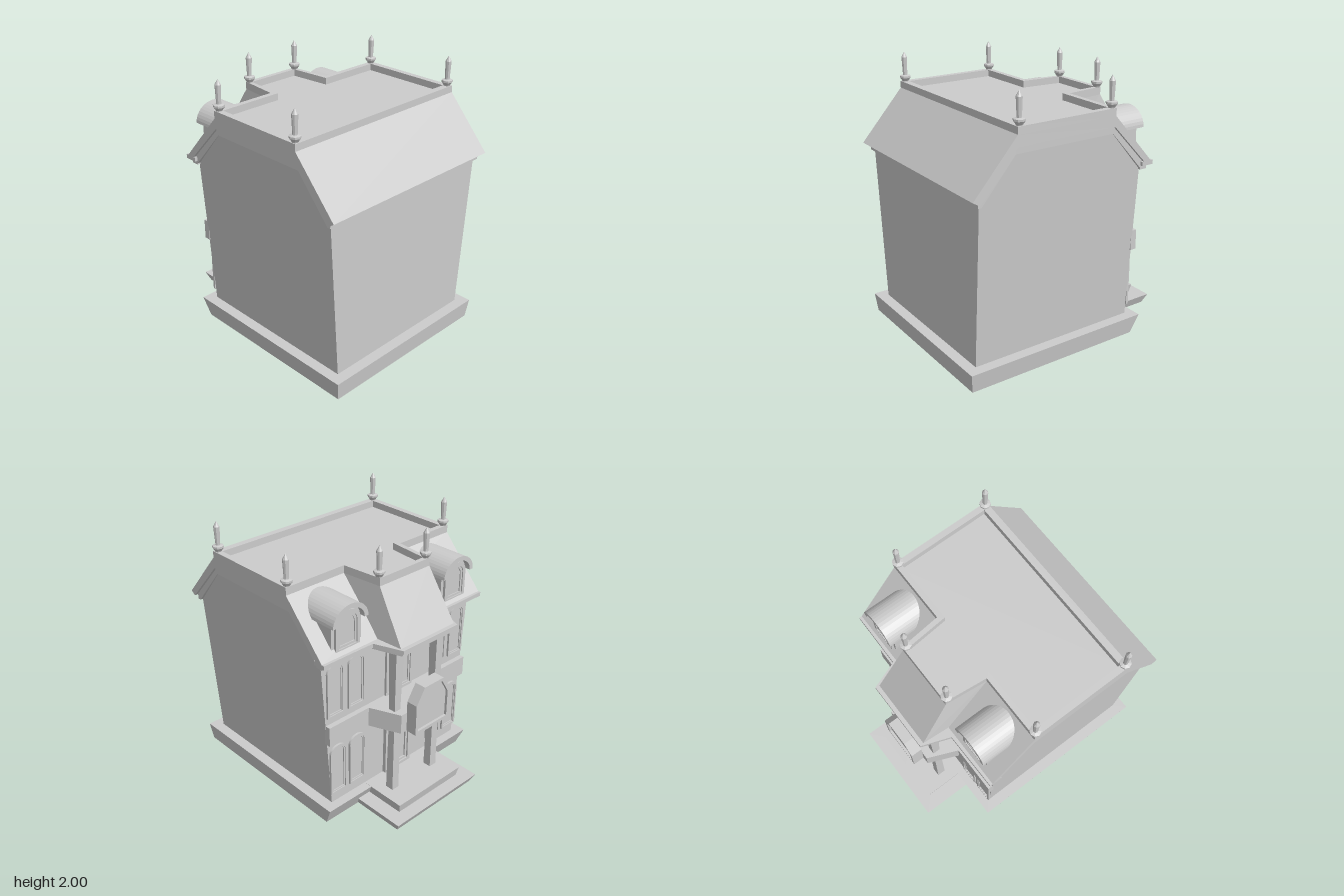
import * as THREE from 'three';

const mat = new THREE.MeshStandardMaterial({ color: 0xcccccc, flatShading: true });
const shellMat = new THREE.MeshStandardMaterial({ color: 0xcccccc, flatShading: true, side: THREE.DoubleSide });

// Rectangular cross-section at height y
const rect = (w, z0, z1, y) => [[w, y, z0], [w, y, z1], [-w, y, z1], [-w, y, z0]];

// Joins a stack of closed cross-sections with quads
function loft(loops) {
  const pos = [];
  for (let i = 0; i + 1 < loops.length; i++) {
    const a = loops[i], b = loops[i + 1], n = a.length;
    for (let j = 0; j < n; j++) {
      const k = (j + 1) % n;
      pos.push(...a[j], ...b[k], ...a[k], ...a[j], ...b[j], ...b[k]);
    }
  }
  const g = new THREE.BufferGeometry();
  g.setAttribute('position', new THREE.Float32BufferAttribute(pos, 3));
  g.computeVertexNormals();
  return g;
}

const extrude = (shape, depth) =>
  new THREE.ExtrudeGeometry(shape, { depth, bevelEnabled: false, curveSegments: 10 });
const poly = (pts) => new THREE.Shape(pts.map(([a, b]) => new THREE.Vector2(a, b)));

// Plan outline [x, z] raised from y0 to y1
function slab(pts, y0, y1, hole) {
  const s = poly(pts.map(([x, z]) => [x, -z]));
  if (hole) s.holes.push(poly(hole.map(([x, z]) => [x, -z])));
  return extrude(s, y1 - y0).rotateX(-Math.PI / 2).translate(0, y0, 0);
}

// Side profile [z, y] run along x
const profile = (pts, w) => extrude(poly(pts), 2 * w).rotateY(-Math.PI / 2).translate(w, 0, 0);

// Half outline mirrored to a full plan outline
const mirrored = (half) => [...half, ...half.map(([x, z]) => [-x, z]).reverse()];

// Arch outline of half width w from y0 to y1, its curved top being "rise" high
function arch(w, y0, y1, rise) {
  const s = new THREE.Shape();
  s.moveTo(-w, y0);
  s.lineTo(w, y0);
  s.lineTo(w, y1 - rise);
  s.absellipse(0, y1 - rise, w, rise, 0, Math.PI, false);
  s.closePath();
  return s;
}

export function createModel() {
  const root = new THREE.Group();
  const add = (name, geo, parent = root, m = mat) => {
    const mesh = new THREE.Mesh(geo, m);
    mesh.name = name;
    parent.add(mesh);
    return mesh;
  };
  const group = (name, x, z) => {
    const g = new THREE.Group();
    g.name = name;
    g.position.set(x, 0, z);
    g.rotation.y = Math.PI; // local +z points out of the facade
    root.add(g);
    return g;
  };

  // Hollow plinth, porch steps and tapered walls, all open below
  add('plinth', loft([
    rect(0.70, 0.905, -0.48, 0), rect(0.72, 0.92, -0.54, 0.14), rect(0.64, 0.84, -0.47, 0.14),
  ]), root, shellMat);
  add('porchSteps', loft([
    rect(0.39, -0.48, -0.88, 0), rect(0.418, -0.48, -0.915, 0.07), rect(0.305, -0.48, -0.815, 0.07),
    rect(0.318, -0.48, -0.83, 0.142), rect(0, -0.48, -0.83, 0.142),
  ]), root, shellMat);
  add('walls', loft([
    rect(0.64, 0.84, -0.47, 0.14), rect(0.72, 0.84, -0.47, 1.33),
    rect(0.737, 0.58, -0.2, 1.61), rect(0, 0.58, -0.2, 1.61),
  ]), root, shellMat);

  // Main roof with a second trim board under its edge
  add('roof', profile([
    [0.91, 1.36], [0.58, 1.73], [-0.2, 1.73], [-0.535, 1.36],
    [-0.50, 1.335], [-0.2, 1.65], [0.58, 1.65], [0.87, 1.335],
  ], 0.763));
  add('gableTrim', profile([
    [0.86, 1.305], [0.86, 1.345], [0.58, 1.65], [-0.2, 1.65], [-0.49, 1.345], [-0.49, 1.305],
    [-0.465, 1.305], [-0.2, 1.6], [0.58, 1.6], [0.835, 1.305],
  ], 0.742));

  // Steep roof over the bay, its deck and the eaves
  add('bayRoof', loft([
    [[0.30, 1.36, -0.2], [0.258, 1.36, -0.735], [-0.258, 1.36, -0.735], [-0.30, 1.36, -0.2]],
    [[0.268, 1.73, -0.2], [0.235, 1.73, -0.505], [-0.235, 1.73, -0.505], [-0.268, 1.73, -0.2]],
    [[0, 1.73, -0.2], [0, 1.73, -0.505], [0, 1.73, -0.505], [0, 1.73, -0.2]],
  ]), root, shellMat);
  add('eaves', slab(mirrored([[0.763, -0.46], [0.763, -0.555], [0.34, -0.56], [0.263, -0.765]]), 1.33, 1.36));
  add('eavesTrim', slab(mirrored([[0.742, -0.46], [0.742, -0.515], [0.32, -0.52], [0.245, -0.74]]), 1.3, 1.33));

  // Parapet following the roof edge and bay
  add('parapet', slab(
    mirrored([[0.763, 0.58], [0.763, -0.205], [0.268, -0.205], [0.235, -0.51]]), 1.72, 1.78,
    mirrored([[0.718, 0.53], [0.718, -0.165], [0.235, -0.165], [0.207, -0.475]])));

  // Finials
  const finial = new THREE.LatheGeometry([
    [0, 1.77], [0.022, 1.775], [0.024, 1.785], [0.04, 1.808], [0.04, 1.822], [0.017, 1.828],
    [0.017, 1.84], [0.022, 1.96], [0, 2.0],
  ].map(([r, y]) => new THREE.Vector2(r, y)), 8);
  for (const s of [-1, 1]) {
    for (const [x, z] of [[0.737, 0.552], [0.737, -0.183], [0.22, -0.487]]) {
      add('finial', finial).position.set(s * x, 0, z);
    }
  }

  // Framed arched opening with a set-back pane
  function framed(parent, name, w, y0, y1, rise, depth, edge) {
    const s = arch(w, y0, y1, rise);
    s.holes.push(arch(w - edge, y0 + edge, y1 - edge, rise * 0.85));
    add(name + 'Frame', extrude(s, depth), parent);
    const inner = arch(w - edge * 1.7, y0 + edge * 1.7, y1 - edge * 1.7, rise * 0.75);
    const sash = arch(w - edge, y0 + edge, y1 - edge, rise * 0.85);
    sash.holes.push(inner);
    add(name + 'Sash', extrude(sash, depth * 0.6), parent);
    add(name + 'Pane', extrude(inner, depth * 0.2), parent);
  }

  // Paired windows on two storeys, and dormers above
  for (const s of [-1, 1]) {
    for (const [x, y] of [[0.40, 0.22], [0.58, 0.22], [0.41, 0.875], [0.60, 0.875]]) {
      framed(group('window', s * x, -0.468), 'window', 0.075, y, y + 0.405, 0.06, 0.018, 0.014);
    }
    const d = group('dormer', s * 0.517, -0.2);
    add('dormerBody', extrude(arch(0.13, 1.34, 1.68, 0.1), 0.295), d);
    const hood = new THREE.Shape();
    hood.moveTo(0.153, 1.575);
    hood.absellipse(0, 1.575, 0.153, 0.133, 0, Math.PI, false);
    hood.lineTo(-0.12, 1.575);
    hood.absellipse(0, 1.575, 0.12, 0.1, Math.PI, 0, true);
    hood.closePath();
    add('dormerHood', extrude(hood, 0.34), d);
    const front = group('dormerWindow', s * 0.517, -0.494);
    framed(front, 'dormerWindow', 0.105, 1.37, 1.655, 0.085, 0.02, 0.024);
  }

  // Central doors
  framed(group('door', 0, -0.468), 'door', 0.13, 0.14, 0.6, 0.05, 0.03, 0.025);
  framed(group('balconyDoor', 0, -0.468), 'balconyDoor', 0.13, 0.82, 1.26, 0.05, 0.02, 0.02);

  // Storey band widening into the balcony
  add('balcony', slab(mirrored([[0.683, -0.46], [0.683, -0.508], [0.32, -0.508], [0.225, -0.73]]), 0.67, 0.82));

  // Porch columns, thinnest at the balcony
  for (const s of [-1, 1]) {
    add('column', loft([
      rect(0.032, 0.032, -0.032, 0.14), rect(0.027, 0.027, -0.027, 0.7),
      rect(0.027, 0.027, -0.027, 0.8), rect(0.036, 0.036, -0.036, 1.31),
    ]), root, shellMat).position.set(s * 0.2, 0, -0.64);
  }

  // Framed blank panel on the balcony front
  const panel = group('balconyPanel', 0, -0.728);
  const outline = (e) => poly([
    [-0.17 + e, 0.67 + e], [0.17 - e, 0.67 + e], [0.17 - e, 0.91 - e * 0.4],
    [0.095 - e * 0.5, 1.03 - e], [-0.095 + e * 0.5, 1.03 - e], [-0.17 + e, 0.91 - e * 0.4],
  ]);
  const rim = outline(0);
  rim.holes.push(outline(0.025));
  add('panelRim', extrude(rim, 0.087), panel);
  add('panelBoard', extrude(outline(0.02), 0.068), panel);

  return root;
}
